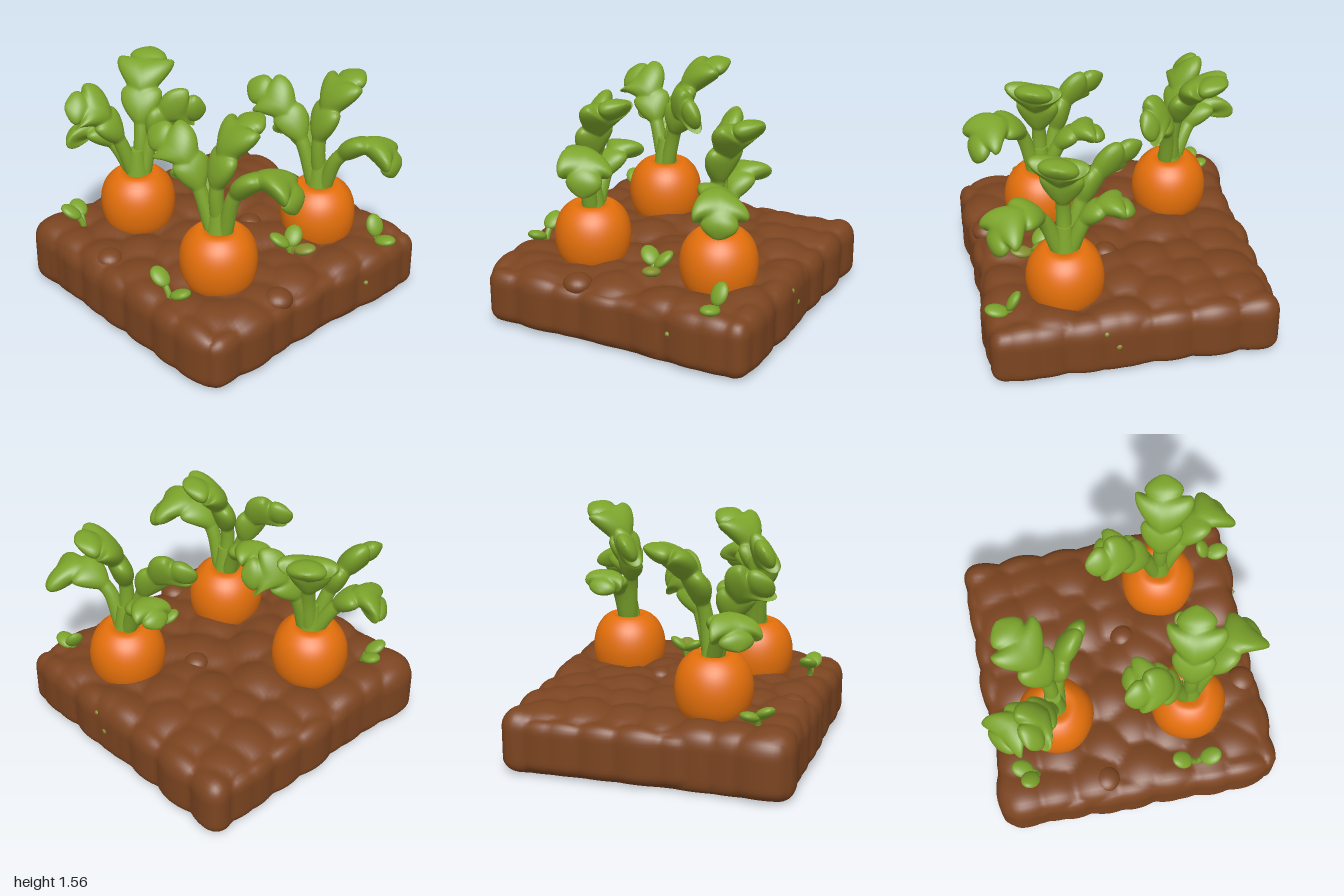
import * as THREE from 'three';
import { mergeGeometries, mergeVertices } from 'three/addons/utils/BufferGeometryUtils.js';

const material = (name, color) => {
  const m = new THREE.MeshStandardMaterial({ color });
  m.name = name;
  return m;
};
const V = (p) => new THREE.Vector3(...p);

function mesh(name, geometry, mat) {
  const m = new THREE.Mesh(geometry, mat);
  m.name = name;
  return m;
}

// Leaf: one smooth loft, a round stem that widens into a puffy blade with paired lobes
function leafGeometry(points, sideHint, size) {
  const curve = new THREE.CatmullRomCurve3(points.map(V));
  const rings = 110, sides = 28;
  const lobes = [[0.5, 0.12, 0.125], [0.71, 0.12, 0.175], [0.885, 0.115, 0.11]]; // centre, reach, width
  const positions = [], index = [];
  for (let i = 0; i <= rings; i++) {
    const t = i / rings;
    const P = curve.getPointAt(t), T = curve.getTangentAt(t);
    const S = V(sideHint);
    S.addScaledVector(T, -S.dot(T)).normalize();
    const N = new THREE.Vector3().crossVectors(T, S);
    const stem = 0.052 - 0.012 * t;
    const bulge = lobes.map(([c, reach, w]) =>
      w * size * Math.sqrt(Math.max(0, 1 - ((t - c) / reach) ** 2)));
    const blade = THREE.MathUtils.smoothstep(t, 0.36, 0.55) * 0.05 * size;
    const end = Math.sqrt(Math.max(0, 1 - Math.max(0, (t - 0.86) / 0.14) ** 2));
    const width = end * [stem + blade, ...bulge].reduce((s, w) => s + w ** 5, 0) ** 0.2;
    const thick = end * (stem + 0.26 * Math.max(0, width - stem));
    const lean = 0.75 - 0.6 * THREE.MathUtils.smoothstep(t, 0.74, 0.9);
    for (let j = 0; j < sides; j++) {
      const a = (j / sides) * 2 * Math.PI, c = Math.cos(a);
      const sweep = lean * Math.max(0, width - stem) * Math.abs(c);
      const p = P.clone().addScaledVector(S, width * c)
        .addScaledVector(N, thick * Math.sin(a)).addScaledVector(T, sweep);
      positions.push(p.x, p.y, p.z);
      if (i < rings) {
        const k = i * sides, n = (j + 1) % sides;
        index.push(k + j, k + n, k + sides + j, k + n, k + sides + n, k + sides + j);
      }
    }
  }
  const g = new THREE.BufferGeometry();
  g.setAttribute('position', new THREE.Float32BufferAttribute(positions, 3));
  g.setIndex(index);
  g.computeVertexNormals();
  return g;
}

// Sprout leaf: thin stalk from the foot with a flat oval at its tip
function sproutGeometry(tip) {
  const stalk = new THREE.QuadraticBezierCurve3(V([0, -0.05, 0]), V([0, 0.06, 0]), tip);
  const a = new THREE.Vector3(tip.x, tip.y * 0.5, tip.z).normalize();
  const b = new THREE.Vector3(0, 1, 0).cross(a).normalize();
  const n = new THREE.Vector3().crossVectors(a, b);
  const oval = new THREE.SphereGeometry(1, 18, 12).scale(0.08, 0.062, 0.034);
  oval.applyMatrix4(new THREE.Matrix4().makeBasis(a, b, n).setPosition(tip));
  return mergeGeometries([new THREE.TubeGeometry(stalk, 10, 0.02, 10), oval]);
}

// Soil slab: a rounded box swollen into clods around jittered points
function soilGeometry() {
  const hx = 0.95, hy = 0.204, r = 0.1;
  let seed = 7;
  const rnd = () => (seed = (seed * 16807) % 2147483647) / 2147483647;
  const clods = [];
  for (let x = -1.04; x < 1.1; x += 0.26)
    for (let z = -1.04; z < 1.1; z += 0.26)
      clods.push([x + (rnd() - 0.5) * 0.2, z + (rnd() - 0.5) * 0.2, rnd() * 0.02]);
  let g = new THREE.BoxGeometry(2 * hx, 2 * hy, 2 * hx, 72, 18, 72);
  g.deleteAttribute('uv');
  g.deleteAttribute('normal');
  g = mergeVertices(g, 1e-5);
  const pos = g.attributes.position;
  const p = new THREE.Vector3(), q = new THREE.Vector3(), d = new THREE.Vector3();
  const inner = new THREE.Vector3(hx - r, hy - r, hx - r);
  for (let i = 0; i < pos.count; i++) {
    p.fromBufferAttribute(pos, i);
    q.copy(p).clamp(inner.clone().negate(), inner);
    d.copy(p).sub(q).normalize();
    p.copy(q).addScaledVector(d, r);
    let swell = -0.02;
    for (const [x, z, h] of clods)
      swell = Math.max(swell, 0.03 + h - 1.6 * ((p.x - x) ** 2 + (p.z - z) ** 2));
    const mound = 0.04 * Math.exp(-4 * (p.x * p.x * 0.4 + (p.z + 0.2) ** 2));
    p.x += d.x * swell * 0.9;
    p.z += d.z * swell * 0.9;
    if (d.y > 0) p.y += d.y * (swell + mound);
    pos.setXYZ(i, p.x, p.y + hy + 0.005, p.z);
  }
  g.computeVertexNormals();
  return g;
}

// Carrot top with a gently uneven round side
function carrotGeometry(top) {
  const profile = [[0.17, -0.46], [0.235, -0.36], [0.258, -0.25], [0.25, -0.15], [0.218, -0.07],
    [0.165, -0.012], [0.12, 0.004], [0.06, -0.012], [0, -0.02]];
  const curve = new THREE.SplineCurve(profile.map(([x, y]) => new THREE.Vector2(x, y)));
  const pts = curve.getPoints(32).map((p) => new THREE.Vector2(Math.max(p.x, 0), p.y + top));
  const g = new THREE.LatheGeometry(pts, 40);
  const pos = g.attributes.position;
  for (let i = 0; i < pos.count; i++) {
    const x = pos.getX(i), z = pos.getZ(i);
    const k = 1 + 0.015 * Math.sin(5 * Math.atan2(z, x));
    pos.setXYZ(i, x * k, pos.getY(i), z * k);
  }
  return g;
}

export function createModel() {
  const soil = material('soil brown', 0x7b4420);
  const orange = material('carrot orange', 0xe36f0b);
  const green = material('leaf green', 0x7ca42b);
  const olive = material('fleck olive', 0x86902f);
  const model = new THREE.Group();
  model.name = 'carrotPatch';

  model.add(mesh('soilSlab', soilGeometry(), soil));

  // Loose clods: x, y, z, radius
  for (const [x, y, z, r] of [[-0.28, 0.39, 0.84, 0.1], [-0.81, 0.42, -0.23, 0.095], [0.19, 0.43, 0.08, 0.085]]) {
    const clod = mesh('clod', new THREE.SphereGeometry(r, 20, 14), soil);
    clod.scale.y = 0.7;
    clod.position.set(x, y, z);
    model.add(clod);
  }

  // Leaves as offsets from the carrot centre: path points, blade direction, size
  const frontLeaves = (lift, back) => [
    [[[0.01, 0.75, 0], [-0.02, 1.05, 0], [0.02, 1.25, 0.01], [0.12, 1.43, 0.04], [0.31, 1.54, 0.08]],
      [-0.35, 0.1, 1], 1.12],
    [[[0.01, 0.75, 0.04], [0.03, 1.0 + lift, 0.14], [0.12, 1.12 + lift, 0.29], [0.2, 1.06 + lift, 0.42],
      [0.22, 0.92 + lift, 0.48]], [1, -0.25, -0.2], 1],
    [[[-0.02, 0.75, -0.03], [-0.06, 1.08, -0.13], [-0.1, 1.28, -0.28 + back], [-0.16, 1.39, -0.54 + back]],
      [0.5, 0.85, 0], 0.9],
    [[[0.01, 0.75, -0.04], [0.03, 0.98, -0.14], [0.05, 1.08, -0.28], [0.07, 1.02, -0.45]], [1, 0.1, 0.1], 0.8],
  ];
  const backLeaves = [
    [[[0.02, 0.79, -0.01], [0.05, 1.05, -0.01], [0.1, 1.27, -0.06], [0.2, 1.44, -0.14], [0.38, 1.54, -0.27]],
      [-0.6, 0, -0.8], 1.12],
    [[[0.03, 0.79, 0.03], [0.1, 1.06, 0.05], [0.2, 1.24, 0.12], [0.39, 1.27, 0.28]], [-0.25, 1, 0.2], 0.95],
    [[[-0.02, 0.79, -0.01], [-0.11, 1.08, -0.06], [-0.22, 1.28, -0.13], [-0.42, 1.37, -0.22]], [0.35, 0.7, -0.5], 1],
    [[[-0.01, 0.79, -0.04], [-0.08, 1.0, -0.15], [-0.17, 1.1, -0.28], [-0.27, 0.97, -0.42]], [-0.8, -0.1, 0.5], 1],
  ];
  for (const [name, x, z, top, leaves] of [
    ['frontRightCarrot', -0.41, 0.42, 0.785, frontLeaves(0.1, 0.06)],
    ['frontLeftCarrot', 0.53, 0.41, 0.76, frontLeaves(0, 0)],
    ['backCarrot', -0.34, -0.49, 0.81, backLeaves],
  ]) {
    const plant = new THREE.Group();
    plant.name = name;
    plant.position.set(x, 0, z);
    plant.add(mesh('root', carrotGeometry(top), orange));
    const crown = mesh('crown', new THREE.CylinderGeometry(0.05, 0.085, 0.2, 20), green);
    crown.position.y = top + 0.07;
    plant.add(crown);
    for (const leaf of leaves) plant.add(mesh('leaf', leafGeometry(...leaf), green));
    model.add(plant);
  }

  // Sprouts: foot position, then leaf tips as offsets with their colour
  for (const [foot, tips] of [
    [[-0.81, 0.41, 0.4], [[0, 0.13, -0.1, green], [0, 0.09, 0.1, green]]],
    [[0.13, 0.43, 0.55], [[-0.06, 0.1, -0.05, green], [0.05, 0.1, -0.03, green], [0.03, 0.06, 0.1, olive]]],
    [[0.7, 0.4, 0.81], [[0.01, 0.11, -0.03, green], [0, 0.04, 0.08, green]]],
    [[-0.68, 0.42, -0.68], [[-0.06, 0.11, -0.06, green], [0.03, 0.09, -0.1, green]]],
  ]) {
    const sprout = new THREE.Group();
    sprout.name = 'sprout';
    sprout.position.set(...foot);
    for (const [x, y, z, colour] of tips)
      sprout.add(mesh('sproutLeaf', sproutGeometry(V([x, y, z])), colour));
    model.add(sprout);
  }

  // Small flecks sunk into the slab sides
  for (const [x, y, z, r] of [[0.963, 0.35, 0.22, 0.02], [0.963, 0.24, 0.14, 0.026], [0.44, 0.25, 0.962, 0.016]]) {
    const fleck = mesh('fleck', new THREE.SphereGeometry(r, 12, 10), olive);
    fleck.position.set(x, y, z);
    model.add(fleck);
  }
  return model;
}
